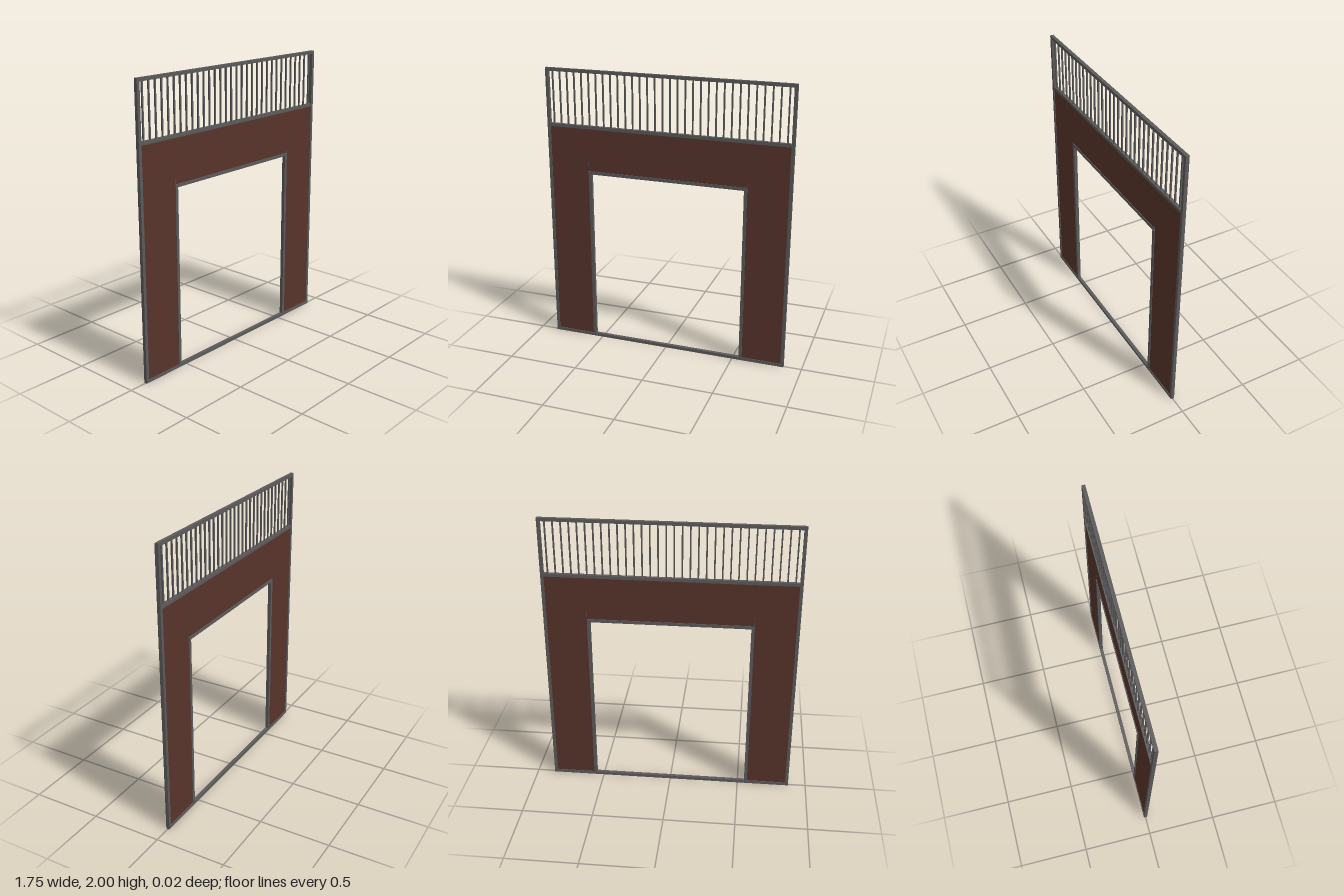
import * as THREE from 'three';

export function createModel() {
  const model = new THREE.Group();
  model.name = 'gateFrame';

  const steel = new THREE.MeshStandardMaterial({ color: 0x5c5a5b });
  steel.name = 'grey steel';
  const brown = new THREE.MeshStandardMaterial({ color: 0x57342b });
  brown.name = 'brown panel';

  const W = 0.873, T = 0.022, D = 0.024; // half width, tube size, depth
  const DOOR = 0.571, DOOR_TOP = 1.289, RAIL_TOP = 1.613;

  // Box given by its left, right, bottom and top limits
  function slab(name, x0, x1, y0, y1, depth, material, parent = model) {
    const mesh = new THREE.Mesh(new THREE.BoxGeometry(x1 - x0, y1 - y0, depth), material);
    mesh.position.set((x0 + x1) / 2, (y0 + y1) / 2, 0);
    mesh.name = name;
    parent.add(mesh);
  }

  // Horizontal members
  slab('bottomRail', -W + T, W - T, 0, T, D, steel);
  slab('topRail', -W + T, W - T, 2 - T, 2, D, steel);
  slab('middleRail', -W + T, W - T, RAIL_TOP - T, RAIL_TOP, D, steel);
  slab('doorHeader', -DOOR + T, DOOR - T, DOOR_TOP - T, DOOR_TOP, D, steel);

  // Mirrored posts, door jambs and panel seams
  for (const [side, s] of [['left', 1], ['right', -1]]) {
    const upright = (name, a, b, y0, y1, depth) =>
      slab(side + name, Math.min(s * a, s * b), Math.max(s * a, s * b), y0, y1, depth, steel);
    upright('Post', W - T, W, 0, 2, D);
    upright('Jamb', DOOR - T, DOOR, T, DOOR_TOP, D);
    upright('Seam', DOOR - 0.002, DOOR, DOOR_TOP, 1.36, 0.0145);
  }

  // Solid panel wrapping around the door opening
  const x = W - T, top = RAIL_TOP - T;
  const outline = new THREE.Shape([
    [-x, T], [-DOOR, T], [-DOOR, DOOR_TOP], [DOOR, DOOR_TOP],
    [DOOR, T], [x, T], [x, top], [-x, top],
  ].map(([px, py]) => new THREE.Vector2(px, py)));
  const panelGeometry = new THREE.ExtrudeGeometry(outline, { depth: 0.014, bevelEnabled: false });
  panelGeometry.translate(0, 0, -0.007);
  const panel = new THREE.Mesh(panelGeometry, brown);
  panel.name = 'panel';
  model.add(panel);

  // Row of slim vertical bars above the panel
  const bars = new THREE.Group();
  bars.name = 'bars';
  model.add(bars);
  for (let i = 0; i < 32; i++) {
    const cx = (i - 15.5) * 0.0531;
    slab('bar', cx - 0.005, cx + 0.005, RAIL_TOP, 2 - T, 0.01, steel, bars);
  }

  return model;
}
